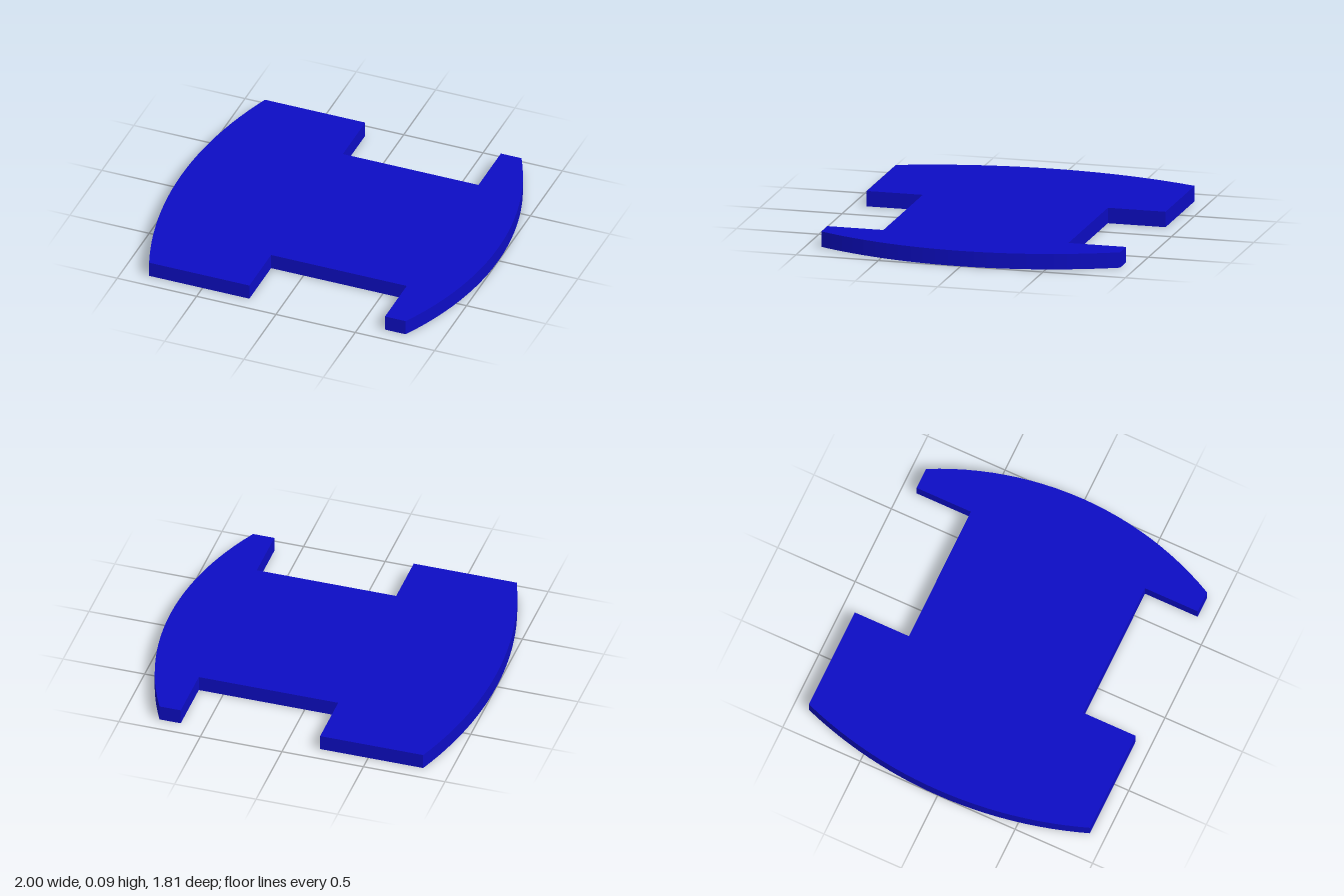
import * as THREE from 'three';

const HALF_DEPTH = 0.907;
const THICKNESS = 0.093;

// Radius of an arc that bulges by `rise` over the full plate depth
const arcRadius = (rise) => (HALF_DEPTH ** 2 + rise ** 2) / (2 * rise);

export function createModel() {
  const group = new THREE.Group();
  group.name = 'notchedPlate';

  const notchMinX = -0.205, notchMaxX = 0.65;
  const notchBack = 0.557, notchFront = -0.567;
  const rightRise = 0.163, leftRise = 0.22;

  // Outline drawn anticlockwise, with shape y pointing to the back
  const outline = new THREE.Shape();
  outline.moveTo(-1 + rightRise, -HALF_DEPTH);
  outline.lineTo(notchMinX, -HALF_DEPTH);
  outline.lineTo(notchMinX, notchFront);
  outline.lineTo(notchMaxX, notchFront);
  outline.lineTo(notchMaxX, -HALF_DEPTH);

  // Bowed edge at +x
  const rl = arcRadius(leftRise);
  const al = Math.asin(HALF_DEPTH / rl);
  outline.absarc(1 - rl, 0, rl, -al, al, false);

  outline.lineTo(notchMaxX, HALF_DEPTH);
  outline.lineTo(notchMaxX, notchBack);
  outline.lineTo(notchMinX, notchBack);
  outline.lineTo(notchMinX, HALF_DEPTH);

  // Bowed edge at -x
  const rr = arcRadius(rightRise);
  const ar = Math.asin(HALF_DEPTH / rr);
  outline.absarc(-1 + rr, 0, rr, Math.PI - ar, Math.PI + ar, false);

  // Flat plate lying on the ground
  const geometry = new THREE.ExtrudeGeometry(outline, {
    depth: THICKNESS, bevelEnabled: false, curveSegments: 12,
  });
  geometry.rotateX(-Math.PI / 2);

  const plate = new THREE.Mesh(geometry, new THREE.MeshStandardMaterial({ color: 0x0d0dc4 }));
  plate.name = 'plate';
  group.add(plate);
  return group;
}
